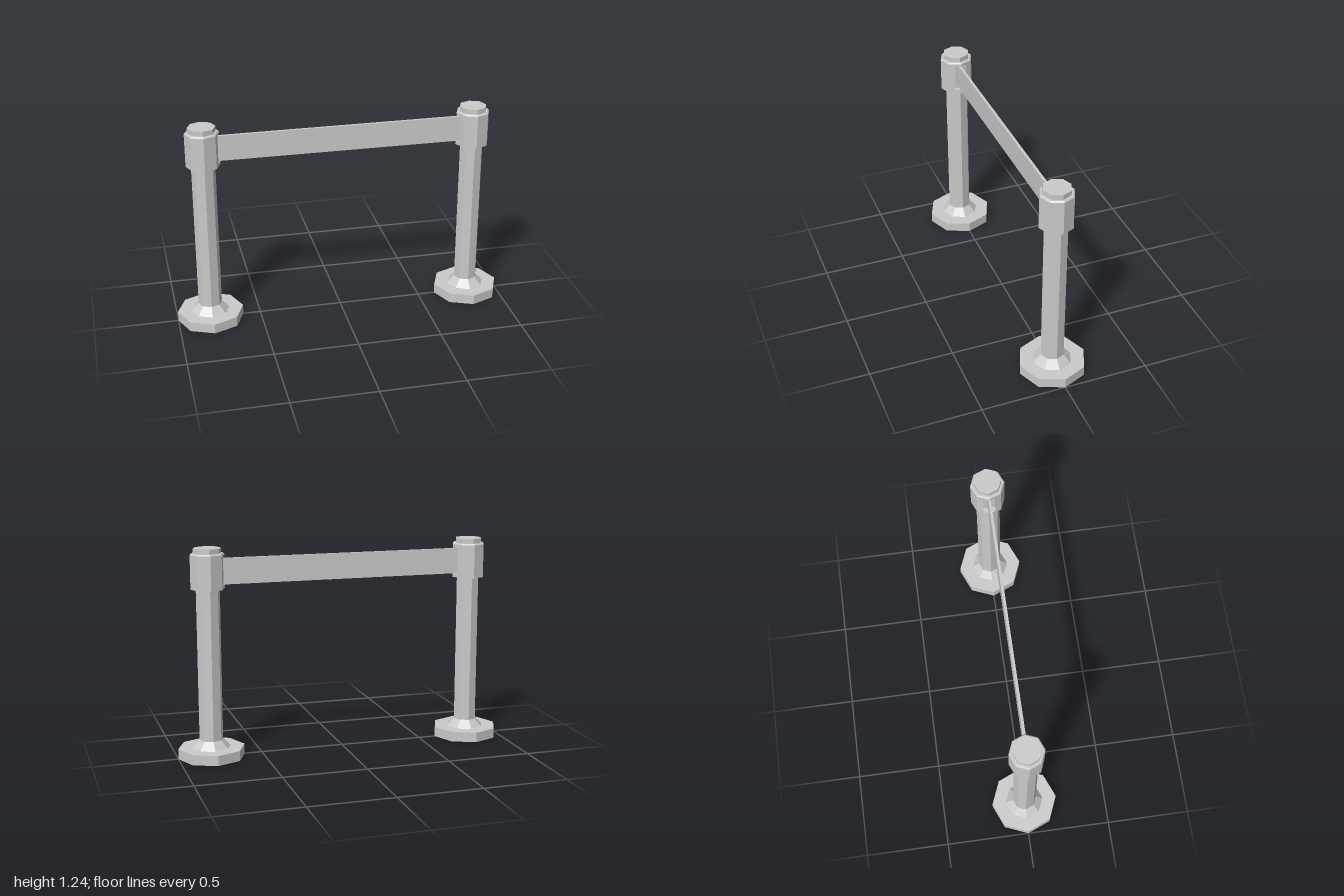
import * as THREE from 'three';

const SIDES = 8;
const POST_X = 0.8025;
const COLLAR_R = 0.1;

const material = new THREE.MeshStandardMaterial({ color: 0xcccccc, flatShading: true });

function part(name, geometry, parent) {
  const mesh = new THREE.Mesh(geometry, material);
  mesh.name = name;
  parent.add(mesh);
  return mesh;
}

// Faceted solid of revolution from [radius, height] pairs, bottom to top
function turned(profile) {
  return new THREE.LatheGeometry(profile.map(([r, y]) => new THREE.Vector2(r, y)), SIDES);
}

// Octagonal slab with a notch in its +x corner for the belt to enter
function notchedSlab(y0, y1) {
  const halfWidth = 0.036, depth = 0.06;
  const points = [new THREE.Vector2(0.085, halfWidth)];
  for (let i = 1; i < SIDES; i++) {
    const a = (i / SIDES) * Math.PI * 2;
    points.push(new THREE.Vector2(COLLAR_R * Math.cos(a), COLLAR_R * Math.sin(a)));
  }
  points.push(
    new THREE.Vector2(0.085, -halfWidth),
    new THREE.Vector2(depth, -halfWidth),
    new THREE.Vector2(depth, halfWidth)
  );
  const geometry = new THREE.ExtrudeGeometry(new THREE.Shape(points), { depth: y1 - y0, bevelEnabled: false });
  geometry.rotateX(-Math.PI / 2);
  geometry.translate(0, y0, 0);
  return geometry;
}

function createPost(name) {
  const post = new THREE.Group();
  post.name = name;

  // Foot, flared skirt and column
  part('base', turned([[0, 0], [0.1975, 0], [0.1975, 0.06], [0, 0.06]]), post);
  part('skirt', turned([[0.114, 0.06], [0.07, 0.107]]), post);
  part('column', turned([[0.07, 0.06], [0.07, 1.01]]), post);

  // Belt housing: solid ends around a notched middle
  const collar = new THREE.Group();
  collar.name = 'collar';
  post.add(collar);
  part('collarBottom', turned([[0, 1], [COLLAR_R, 1], [COLLAR_R, 1.02], [0, 1.02]]), collar);
  part('collarSlot', notchedSlab(1.02, 1.187), collar);
  part('collarTop', turned([[0, 1.187], [COLLAR_R, 1.187], [COLLAR_R, 1.2], [0.093, 1.207], [0, 1.207]]), collar);

  part('cap', turned([[0.081, 1.2], [0.081, 1.236], [0, 1.236]]), post);
  return post;
}

export function createModel() {
  const model = new THREE.Group();
  model.name = 'beltBarrier';

  // Two posts with their slots facing each other
  const right = createPost('rightPost');
  right.position.x = -POST_X;
  const left = createPost('leftPost');
  left.position.x = POST_X;
  left.rotation.y = Math.PI;
  model.add(right, left);

  // Belt stretched between the slots
  const belt = part('belt', new THREE.BoxGeometry(2 * (POST_X - 0.06), 0.153, 0.016), model);
  belt.position.y = 1.0985;

  return model;
}
